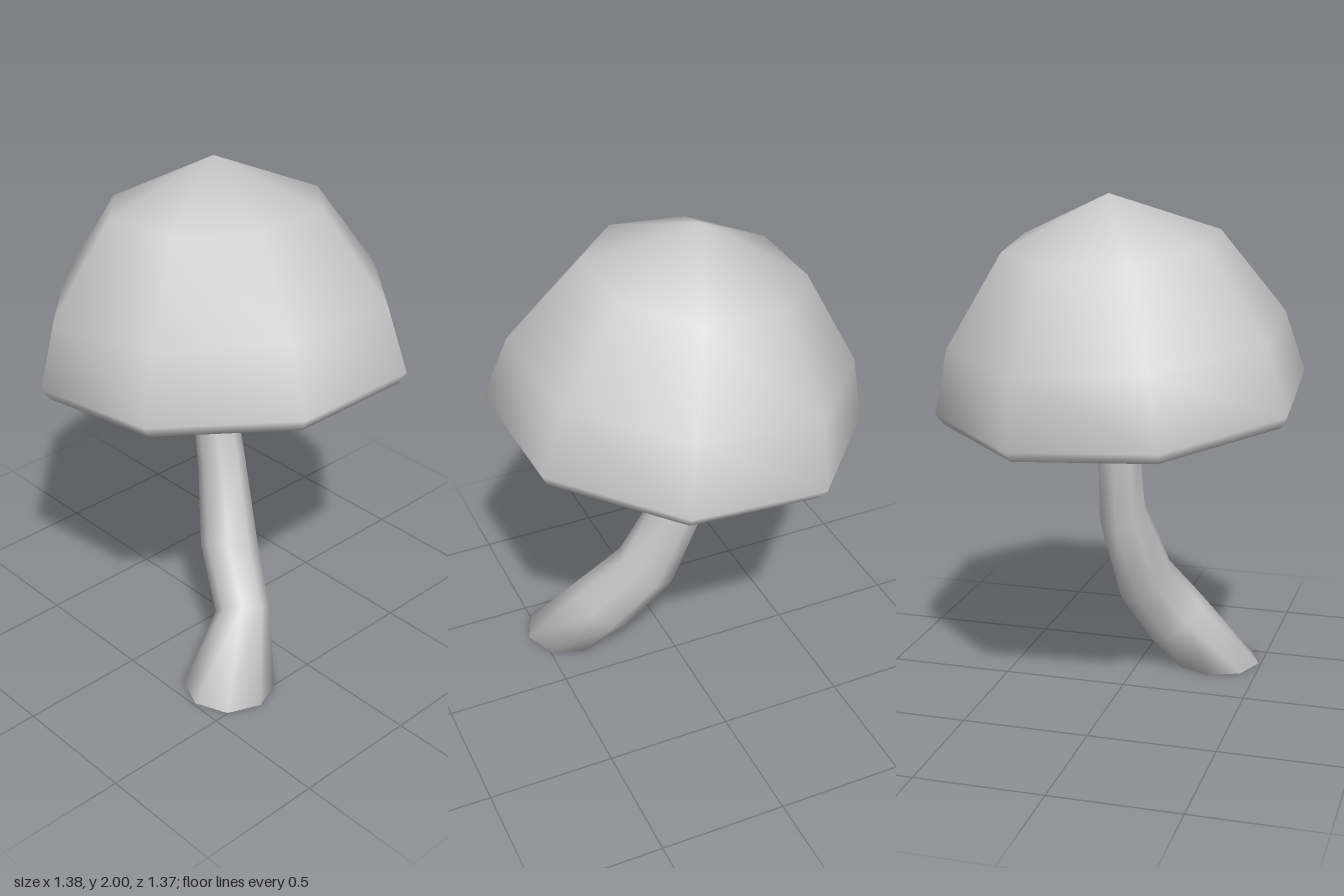
import * as THREE from 'three';
import { mergeVertices } from 'three/addons/utils/BufferGeometryUtils.js';

const material = new THREE.MeshStandardMaterial({ color: 0xcccccc, side: THREE.DoubleSide });

// Weld all vertices so the low-poly shape is shaded smoothly.
function smooth(geometry) {
  geometry.deleteAttribute('uv');
  geometry.deleteAttribute('normal');
  const welded = mergeVertices(geometry, 1e-4);
  welded.computeVertexNormals();
  return welded;
}

// Eight-sided hollow cap, profile running from the underside round the rim to the tip.
function createCap() {
  const profile = [
    [0, 0.22], [0.3, 0.2], [0.62, 0.1], [0.7, -0.045],
    [0.73, 0], [0.66, 0.255], [0.42, 0.6], [0, 0.78],
  ].map(([r, y]) => new THREE.Vector2(r, y));
  const turn = THREE.MathUtils.degToRad(25.5);
  const cap = new THREE.Mesh(smooth(new THREE.LatheGeometry(profile, 8, turn)), material);
  cap.name = 'cap';
  cap.position.y = 1.225;
  cap.rotation.set(-0.11, 0, -0.04);
  return cap;
}

// Bent stem: each ring of a cylinder is moved to its own centre, size and slope.
function createStem() {
  // centre x, y, z, radius, slope along x, slope along z
  const rings = [
    [-0.31, 0, 0.37, 0.18, 0, 0],
    [-0.145, 0.225, 0.27, 0.107, -0.52, 0.7],
    [-0.065, 0.43, 0.105, 0.113, -0.26, 0.48],
    [0, 0.74, -0.01, 0.093, -0.17, 0.6],
    [0, 1.07, -0.067, 0.083, 0, 0.05],
    [0, 1.44, -0.065, 0.08, 0, 0],
  ];
  const last = rings.length - 1;
  const geometry = new THREE.CylinderGeometry(1, 1, last, 8, last);
  const position = geometry.attributes.position;
  for (let i = 0; i < position.count; i++) {
    const [x, y, z, r, sx, sz] = rings[Math.round(position.getY(i) + last / 2)];
    const dx = position.getX(i) * r;
    const dz = position.getZ(i) * r;
    position.setXYZ(i, x + dx, y + sx * dx + sz * dz, z + dz);
  }
  const stem = new THREE.Mesh(smooth(geometry), material);
  stem.name = 'stem';
  return stem;
}

export function createModel() {
  const group = new THREE.Group();
  group.name = 'mushroom';
  group.add(createCap(), createStem());
  return group;
}
